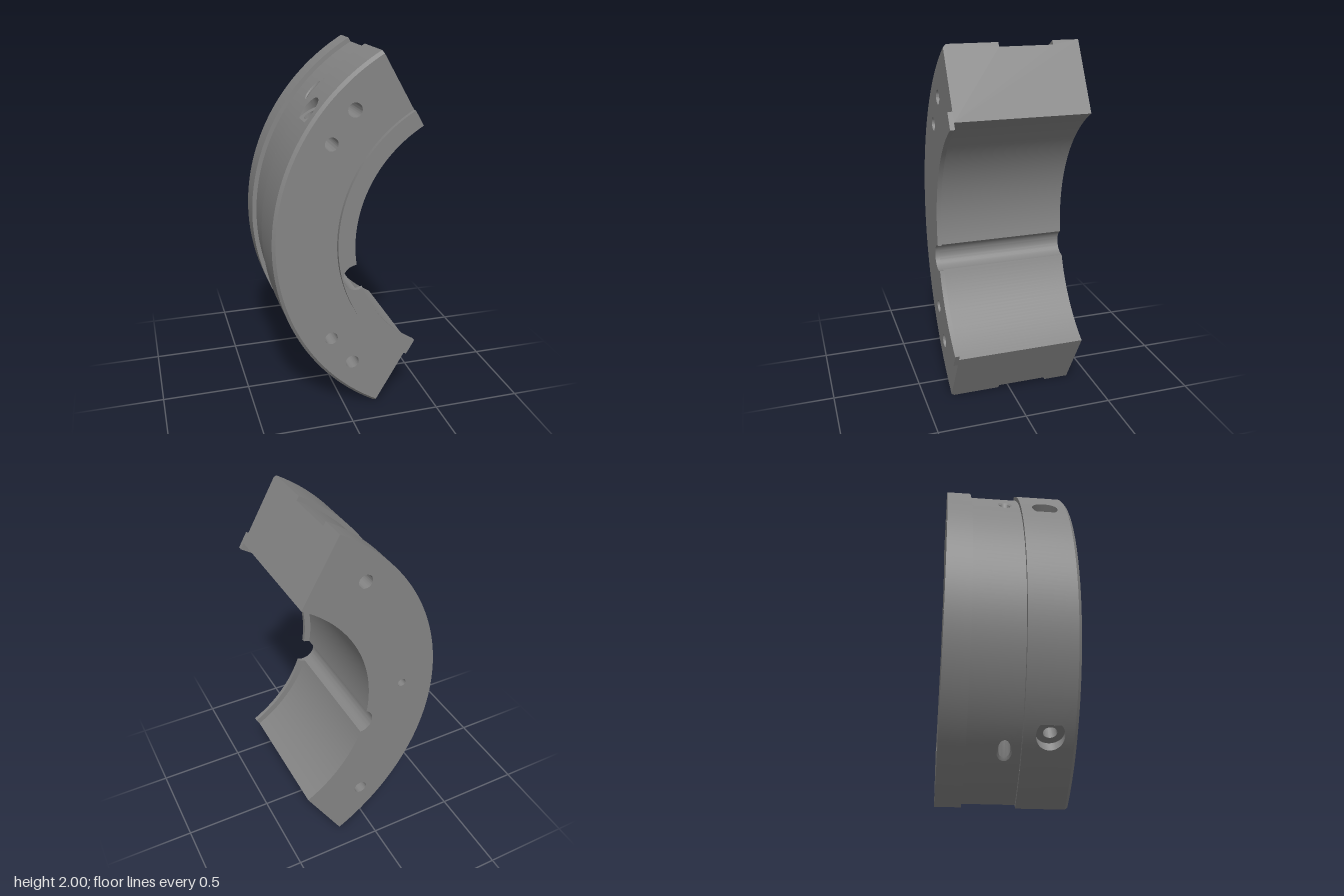
import * as THREE from 'three';
import { mergeGeometries, toCreasedNormals } from 'three/addons/utils/BufferGeometryUtils.js';
import { ParametricGeometry } from 'three/addons/geometries/ParametricGeometry.js';

const CX = 0.756, CY = 1, END = Math.PI / 3;         // arc centre and half sweep
const R = 1.1547, R_GROOVE = 1.13, R_IN = 0.752;     // body radii
const LIP_IN = 0.715, LIP_OUT = 0.808, R_FACE = 1.138; // front lip and chamfered face radii
const Z_BACK = -0.372, Z_BODY = 0.347, Z_LIP = 0.372;
const NOTCH = { r: 0.73, a: -0.256, radius: 0.073 };
const rad = THREE.MathUtils.degToRad, lerp = THREE.MathUtils.lerp;

// angle a is measured from the -x direction, positive upward
const polar = (r, a, z = 0) => new THREE.Vector3(CX - r * Math.cos(a), CY + r * Math.sin(a), z);
const surface = (f, nu, nv) => new ParametricGeometry((u, v, t) => t.copy(f(u, v)), nu, nv);
const flip = (g) => { g.index.array.reverse(); return g; };
const mirrored = (g) => flip(g.clone().scale(1, -1, 1).translate(0, 2 * CY, 0));
const both = (list) => [...list, ...list.map(mirrored)];

// curved band between two [r, z] profile points
const band = (p, q, a0 = -END, a1 = END) => surface(
  (u, v) => polar(lerp(p[0], q[0], u), lerp(a0, a1, v), lerp(p[1], q[1], u)),
  1, Math.ceil((a1 - a0) / rad(1.5)));

// skin between two closed loops, from the outer one inward
const loft = (l0, l1, n = 48) => surface(
  (u, v) => l0(v * Math.PI * 2).lerp(l1(v * Math.PI * 2), u), 1, n);

// curved rectangular patch of the outer skin with an opening
const patch = (r, a0, a1, z0, z1, rim) => surface((u, v) => {
  const p = v * Math.PI * 2, c = Math.cos(p), s = Math.sin(p), m = Math.max(Math.abs(c), Math.abs(s));
  const hole = rim(p), ha = Math.atan2(hole.y - CY, CX - hole.x);
  const ra = (a0 + a1) / 2 + (a1 - a0) / 2 * c / m, rz = (z0 + z1) / 2 + (z1 - z0) / 2 * s / m;
  return polar(r, lerp(ra, ha, u), lerp(rz, hole.z, u));
}, 6, 48);

// loops of a bore with centre c and axis d in the xy plane
function bore(c, d) {
  const side = new THREE.Vector3(d.y, -d.x, 0);
  const loop = (radius, t, sMin = -1) => (p) => c.clone()
    .addScaledVector(side, Math.max(radius * Math.cos(p), sMin))
    .addScaledVector(d, t).add(new THREE.Vector3(0, 0, radius * Math.sin(p)));
  // where the bore meets the cylinder of radius r
  const rim = (radius, r, sMin) => (p) => {
    const q = loop(radius, 0, sMin)(p), x = q.x - CX, y = q.y - CY;
    const b = x * d.x + y * d.y;
    return q.addScaledVector(d, Math.max(0, -b + Math.sqrt(b * b - (x * x + y * y - r * r))));
  };
  return { d, side, loop, rim };
}

// half width of a round hole of radius k at offset s
const chord = (k, s) => Math.sqrt(Math.max(0, k * k - s * s));

// inner edge of a cross-section, interrupted by the round notch
function innerEdge(r) {
  const { r: rc, a: a0, radius: k } = NOTCH;
  const cosD = (r * r + rc * rc - k * k) / (2 * r * rc), gap = Math.acos(cosD);
  const bMax = Math.acos((r * cosD - rc) / k), pts = [];
  for (let i = 0; i <= 28; i++) pts.push(polar(r, lerp(-END, a0 - gap, i / 28)));
  for (let i = 1; i < 24; i++) {
    const b = lerp(-bMax, bMax, i / 24), x = rc + k * Math.cos(b), y = k * Math.sin(b);
    pts.push(polar(Math.hypot(x, y), a0 + Math.atan2(y, x)));
  }
  for (let i = 0; i <= 40; i++) pts.push(polar(r, lerp(a0 + gap, END, i / 40)));
  return pts;
}

// flat sector face with round holes [x, y, radius]
function face(rIn, rOut, z, holes = []) {
  const pts = innerEdge(rIn);
  for (let i = 0; i <= 80; i++) pts.push(polar(rOut, lerp(END, -END, i / 80)));
  const shape = new THREE.Shape(pts.map((p) => new THREE.Vector2(p.x, p.y)));
  for (const [x, y, r] of holes) shape.holes.push(new THREE.Path().absarc(x, y, r, 0, Math.PI * 2, true));
  return new THREE.ShapeGeometry(shape, 16).translate(0, 0, z);
}

function innerWall(r, z0, z1) {
  const pts = innerEdge(r), n = pts.length - 1;
  return surface((u, v) => pts[Math.round(u * n)].clone().setZ(lerp(z0, z1, v)), n, 1);
}

// circle around the z axis, ordered for bores from the front (1) or back (-1)
const ring = ([x, y, r], z, dir = 1) => (p) =>
  new THREE.Vector3(x + r * Math.cos(p), y - dir * r * Math.sin(p), z);

export function createModel() {
  const group = new THREE.Group();
  const material = new THREE.MeshStandardMaterial({ color: 0x858585, side: THREE.DoubleSide });
  const add = (name, parts) => {
    const mesh = new THREE.Mesh(toCreasedNormals(mergeGeometries(parts), rad(28)), material);
    mesh.name = name;
    group.add(mesh);
  };
  const mirrorHole = ([x, y, r]) => [x, 2 * CY - y, r];
  const bolt = [0.04, 1.715, 0.038], port = [-0.082, 1.548, 0.036], pin = [-0.201, 1, 0.024];
  const bolts = [bolt, mirrorHole(bolt)], ports = [port, mirrorHole(port)];

  // flat faces and the bore side
  add('frontFace', [face(R_IN, R_FACE, Z_BODY, [...bolts, ...ports])]);
  add('backFace', [flip(face(R_IN, R, Z_BACK, [...bolts, pin]))]);
  add('innerWall', [innerWall(R_IN, Z_BACK, Z_BODY)]);
  add('frontLip', [
    face(LIP_IN, LIP_OUT, Z_LIP), flip(face(LIP_IN, LIP_OUT, Z_BODY)),
    innerWall(LIP_IN, Z_BODY, Z_LIP), band([LIP_OUT, Z_BODY], [LIP_OUT, Z_LIP]),
  ]);

  // angled counterbored hole and vertical hole, both opening in the outer skin
  const zA = 0.203, zV = -0.027, rSeat = 0.076, rA = 0.037, rV = 0.033, sMin = -0.052;
  const angled = bore(new THREE.Vector3(-0.155, 1.674, zA), new THREE.Vector3(-0.5, Math.sqrt(0.75), 0));
  const vertical = bore(new THREE.Vector3(port[0], CY, zV), new THREE.Vector3(0, 1, 0));
  const angledRim = angled.rim(rSeat, R, sMin);
  const verticalRim = vertical.rim(0.041, R_GROOVE);
  const verticalThroat = (p) => vertical.rim(rV, R_GROOVE)(p).add(new THREE.Vector3(0, -0.01, 0));

  // outer skin, with patches around the openings
  const g0 = -0.229, g1 = 0.06, c0 = 0.33;
  add('outerSkin', [
    band([R, Z_BACK], [R, g0]),
    band([R, g0], [R_GROOVE, g0]),
    band([R_GROOVE, g1], [R, g1]),
    band([R, c0], [R_FACE, Z_BODY]),
    band([R, g1], [R, c0], -rad(28), rad(28)),
    band([R_GROOVE, g0], [R_GROOVE, g1], -rad(36), rad(36)),
    ...both([
      band([R, g1], [R, c0], rad(47), END),
      patch(R, rad(28), rad(47), g1, c0, angledRim),
      band([R_GROOVE, g0], [R_GROOVE, g1], rad(49), END),
      patch(R_GROOVE, rad(36), rad(49), g0, g1, verticalRim),
    ]),
  ]);

  // end faces follow the section profile
  const profile = [[R_IN, Z_BACK], [R, Z_BACK], [R, g0], [R_GROOVE, g0], [R_GROOVE, g1], [R, g1], [R, c0],
    [R_FACE, Z_BODY], [LIP_OUT, Z_BODY], [LIP_OUT, Z_LIP], [LIP_IN, Z_LIP], [LIP_IN, Z_BODY], [R_IN, Z_BODY]];
  const end = new THREE.ShapeGeometry(new THREE.Shape(profile.map(([r, z]) => new THREE.Vector2(r, z))));
  const pos = end.attributes.position;
  for (let i = 0; i < pos.count; i++) {
    const p = polar(pos.getX(i), END, pos.getY(i));
    pos.setXYZ(i, p.x, p.y, p.z);
  }
  add('endFaces', both([end]));

  // straight holes
  add('boltHoles', both([loft(ring(bolt, Z_BODY), ring(bolt, Z_BACK))]));
  const pinEnd = ring(pin, -0.25, -1);
  add('pinHole', [loft(ring(pin, Z_BACK, -1), pinEnd), loft(pinEnd, ring([pin[0], pin[1], 0.0005], -0.25, -1))]);

  // front port, cut open where the angled hole enters and ending in the vertical hole
  const portCut = (dir) => (p) => {
    const q = ring(port, zA)(p), off = new THREE.Vector3(q.x - port[0], q.y - port[1], 0);
    if (off.dot(angled.d) > 0) q.z += dir * chord(rA, off.dot(angled.side));
    return q;
  };
  const portEnd = (p) => {
    const q = ring(port, zV)(p);
    return q.setZ(zV + chord(rV, q.x - port[0]));
  };
  add('frontPorts', both([loft(ring(port, Z_BODY), portCut(1)), loft(portCut(-1), portEnd)]));

  // angled hole: counterbore, seat and shank ending in the port
  const seat = angled.loop(rSeat, 0, sMin), shank = angled.loop(rA, 0);
  const shankEnd = (p) => shank(p).addScaledVector(angled.d, chord(port[2], rA * Math.cos(p)) - 0.146);
  add('angledHoles', both([loft(angledRim, seat), loft(seat, shank), loft(shank, shankEnd)]));

  // vertical hole, cut open on the front side where the port enters
  const verticalCut = (dir) => (p) => {
    const q = vertical.loop(rV, port[1] - CY)(p);
    if (q.z > zV) q.y += dir * chord(port[2], q.x - port[0]);
    return q;
  };
  add('verticalHole', both([
    loft(verticalRim, verticalThroat),
    loft(verticalThroat, verticalCut(1)),
    loft(verticalCut(-1), vertical.loop(rV, 0)),
  ]));
  return group;
}
